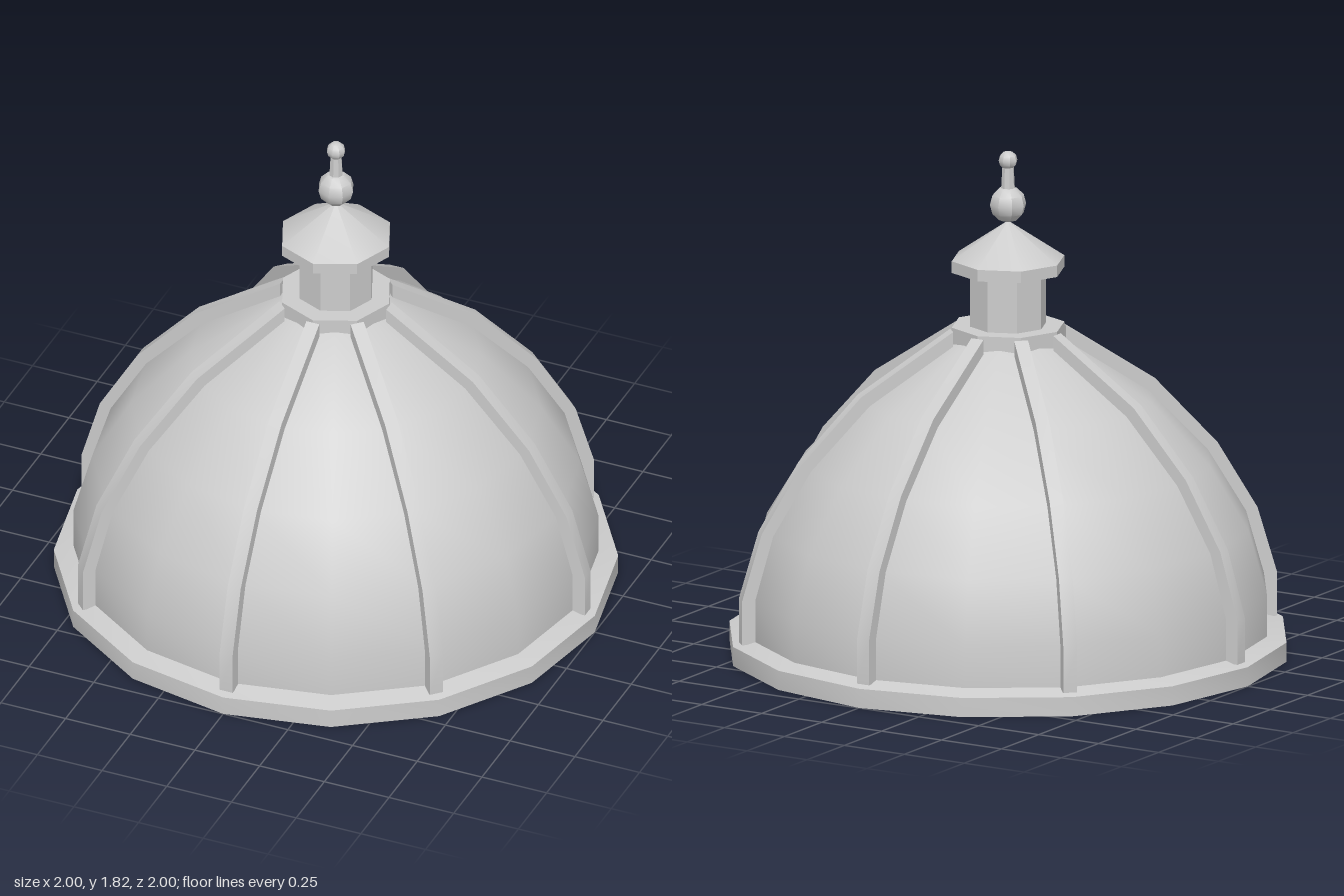
import * as THREE from 'three';
import { toCreasedNormals } from 'three/addons/utils/BufferGeometryUtils.js';

const stone = new THREE.MeshStandardMaterial({ color: 0xcccccc });
stone.name = 'pale stone';

export function createModel() {
  const model = new THREE.Group();
  model.name = 'dome';

  const add = (name, geometry, parent = model) => {
    const mesh = new THREE.Mesh(toCreasedNormals(geometry, 0.6), stone);
    mesh.name = name;
    parent.add(mesh);
    return mesh;
  };
  // Turned part from [radius, height] pairs, listed bottom to top
  const turn = (name, profile, sides, parent) =>
    add(name, new THREE.LatheGeometry(profile.map(p => new THREE.Vector2(...p)), sides), parent);

  // Base ring, open underneath, with a gently sloping top
  turn('baseRing', [[0.885, 0.07], [0.885, 0], [1, 0], [1, 0.07], [0.92, 0.092]], 16);

  // Dome shell with a recessed flat underside
  const curve = [[0.93, 0.24], [0.865, 0.47], [0.727, 0.7], [0.515, 0.925], [0.19, 1.14]];
  turn('domeShell', [[0.93, 0.07], ...curve, [0, 1.17]], 16);
  const underside = new THREE.CircleGeometry(0.93, 16);
  underside.rotateX(Math.PI / 2).translate(0, 0.07, 0);
  add('underside', underside);

  // Eight square ribs following the dome's profile
  const outer = [[0.973, 0.08], [0.973, 0.24], [0.902, 0.48], [0.757, 0.725], [0.54, 0.96], [0.205, 1.18]];
  const inner = [[0.205, 1.1], [0.49, 0.9], [0.7, 0.68], [0.835, 0.46], [0.9, 0.23], [0.9, 0.08]];
  const ribShape = new THREE.Shape([...outer, ...inner].map(p => new THREE.Vector2(...p)));
  const ribGeometry = new THREE.ExtrudeGeometry(ribShape, { depth: 0.05, bevelEnabled: false });
  ribGeometry.translate(0, 0, -0.025);
  const ribs = new THREE.Group();
  ribs.name = 'ribs';
  model.add(ribs);
  for (let i = 0; i < 8; i++) {
    add('rib' + (i + 1), ribGeometry, ribs).rotation.y = i * Math.PI / 4;
  }

  // Octagonal lantern: collar, drum and overhanging roof
  const lantern = new THREE.Group();
  lantern.name = 'lantern';
  model.add(lantern);
  turn('collar', [[0, 1.13], [0.205, 1.13], [0.205, 1.19], [0, 1.19]], 8, lantern);
  turn('drum', [[0.138, 1.18], [0.138, 1.4]], 8, lantern);
  turn('roofEaves', [[0, 1.39], [0.205, 1.39], [0.205, 1.432]], 8, lantern);
  turn('roof', [[0.205, 1.432], [0, 1.57]], 8, lantern);

  // Finial: large ball, stem and small knob
  const ball = (name, radius, y, rings) => {
    const sphere = new THREE.SphereGeometry(radius, 8, rings);
    add(name, sphere.translate(0, y, 0), lantern);
  };
  ball('finialBall', 0.066, 1.63, 6);
  turn('finialStem', [[0.026, 1.67], [0.02, 1.78]], 8, lantern);
  ball('finialKnob', 0.034, 1.79, 6);

  return model;
}
